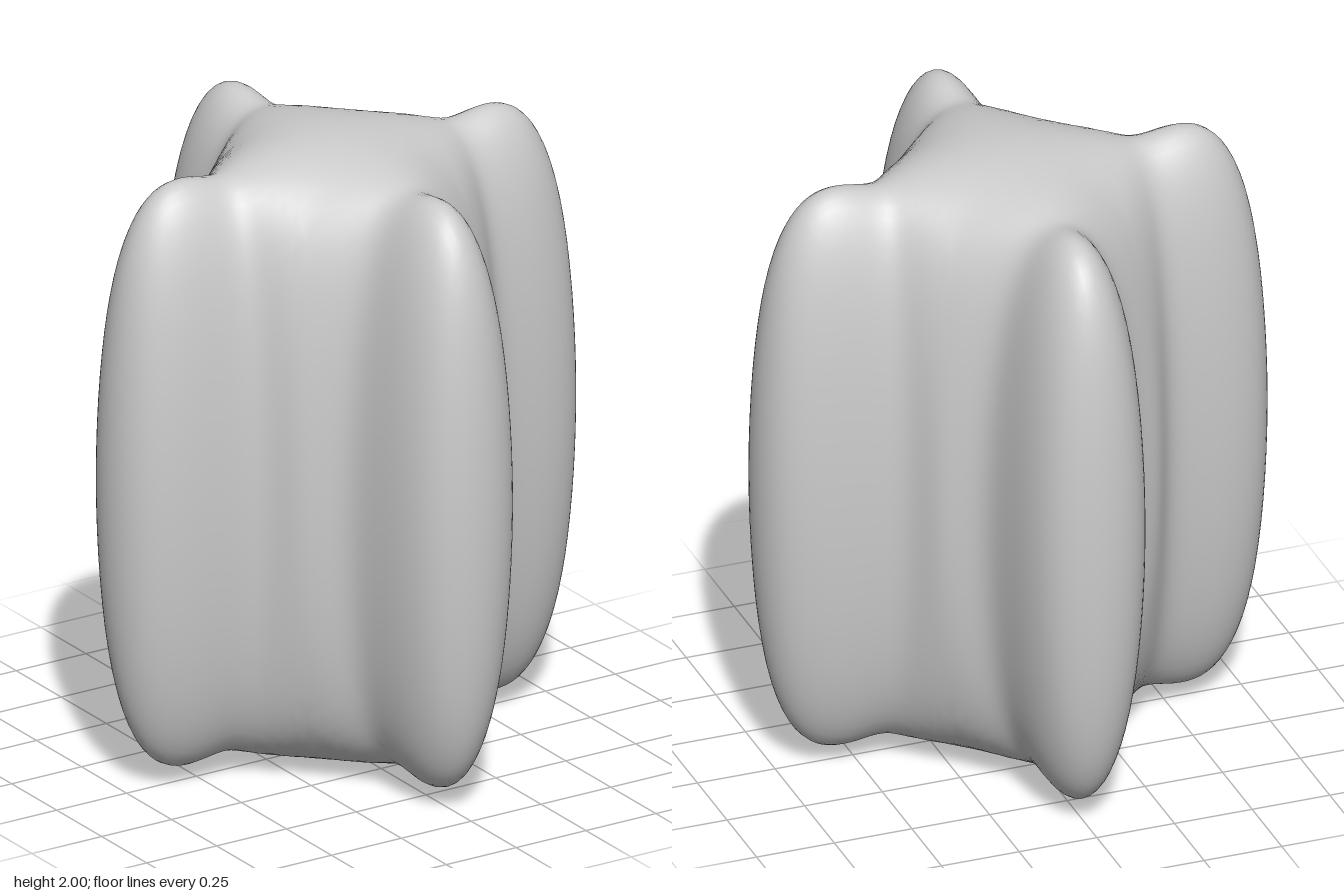
import * as THREE from 'three';

// One Catmull-Clark smoothing step on a closed quad mesh
function subdivide({ points, quads }) {
  const out = points.map(() => new THREE.Vector3());
  const add = (v) => out.push(v) - 1;
  const edges = new Map();
  const around = points.map(() => ({ n: 0, faces: new THREE.Vector3(), mids: new THREE.Vector3() }));
  const key = (a, b) => (a < b ? a + '_' + b : b + '_' + a);

  const centres = quads.map((q) => {
    const c = new THREE.Vector3();
    q.forEach((i) => c.addScaledVector(points[i], 0.25));
    q.forEach((a, j) => {
      const b = q[(j + 1) % 4], k = key(a, b);
      if (!edges.has(k)) edges.set(k, { a, b, sum: points[a].clone().add(points[b]) });
      edges.get(k).sum.add(c);
      around[a].n++;
      around[a].faces.add(c);
    });
    return add(c);
  });
  for (const e of edges.values()) {
    const mid = points[e.a].clone().add(points[e.b]).multiplyScalar(0.5);
    around[e.a].mids.add(mid);
    around[e.b].mids.add(mid);
    e.id = add(e.sum.multiplyScalar(0.25));
  }
  points.forEach((p, i) => {
    const { n, faces, mids } = around[i];
    out[i].copy(faces).addScaledVector(mids, 2).divideScalar(n)
      .addScaledVector(p, n - 3).divideScalar(n);
  });
  const next = [];
  quads.forEach((q, f) => q.forEach((a, j) => {
    const ahead = edges.get(key(a, q[(j + 1) % 4])).id;
    const behind = edges.get(key(a, q[(j + 3) % 4])).id;
    next.push([a, ahead, centres[f], behind]);
  }));
  return { points: out, quads: next };
}

// Coarse cage: a square core with four equal arms
function crossCage() {
  const core = 0.395, coreH = 1.02;
  const armWidth = 0.22, root = 0.4, rootH = 1.0, tip = 0.857, tipH = 1.12;
  const points = [], quads = [];

  for (let k = 0; k < 4; k++) {
    const put = (x, y, z) => {
      for (let r = 0; r < k; r++) [x, z] = [-z, x];
      points.push(new THREE.Vector3(x, y + 1, z));
    };
    put(core, coreH, core);
    put(core, -coreH, core);
    for (const [x, h] of [[root, rootH], [tip, tipH]]) {
      put(x, h, armWidth);
      put(x, -h, armWidth);
      put(x, -h, -armWidth);
      put(x, h, -armWidth);
    }
  }

  const top = (k) => ((k + 4) % 4) * 10;
  const bottom = (k) => top(k) + 1;
  for (let k = 0; k < 4; k++) {
    const loops = [
      [top(k), bottom(k), bottom(k - 1), top(k - 1)],
      [2, 3, 4, 5].map((i) => top(k) + i),
      [6, 7, 8, 9].map((i) => top(k) + i),
    ];
    for (let l = 0; l < 2; l++) {
      const A = loops[l], B = loops[l + 1];
      for (let j = 0; j < 4; j++) {
        const m = (j + 1) % 4;
        quads.push([A[j], A[m], B[m], B[j]]);
      }
    }
    quads.push(loops[2]); // arm end
  }
  quads.push([3, 2, 1, 0].map(top), [0, 1, 2, 3].map(bottom));
  return { points, quads };
}

export function createModel() {
  let mesh = crossCage();
  for (let i = 0; i < 4; i++) mesh = subdivide(mesh);

  const geometry = new THREE.BufferGeometry().setFromPoints(mesh.points);
  geometry.setIndex(mesh.quads.flatMap(([a, b, c, d]) => [a, b, c, a, c, d]));
  geometry.computeVertexNormals();

  const body = new THREE.Mesh(geometry, new THREE.MeshStandardMaterial({ color: 0xcccccc }));
  body.name = 'crossBody';

  const group = new THREE.Group();
  group.name = 'roundedCrossBlock';
  group.add(body);
  return group;
}
